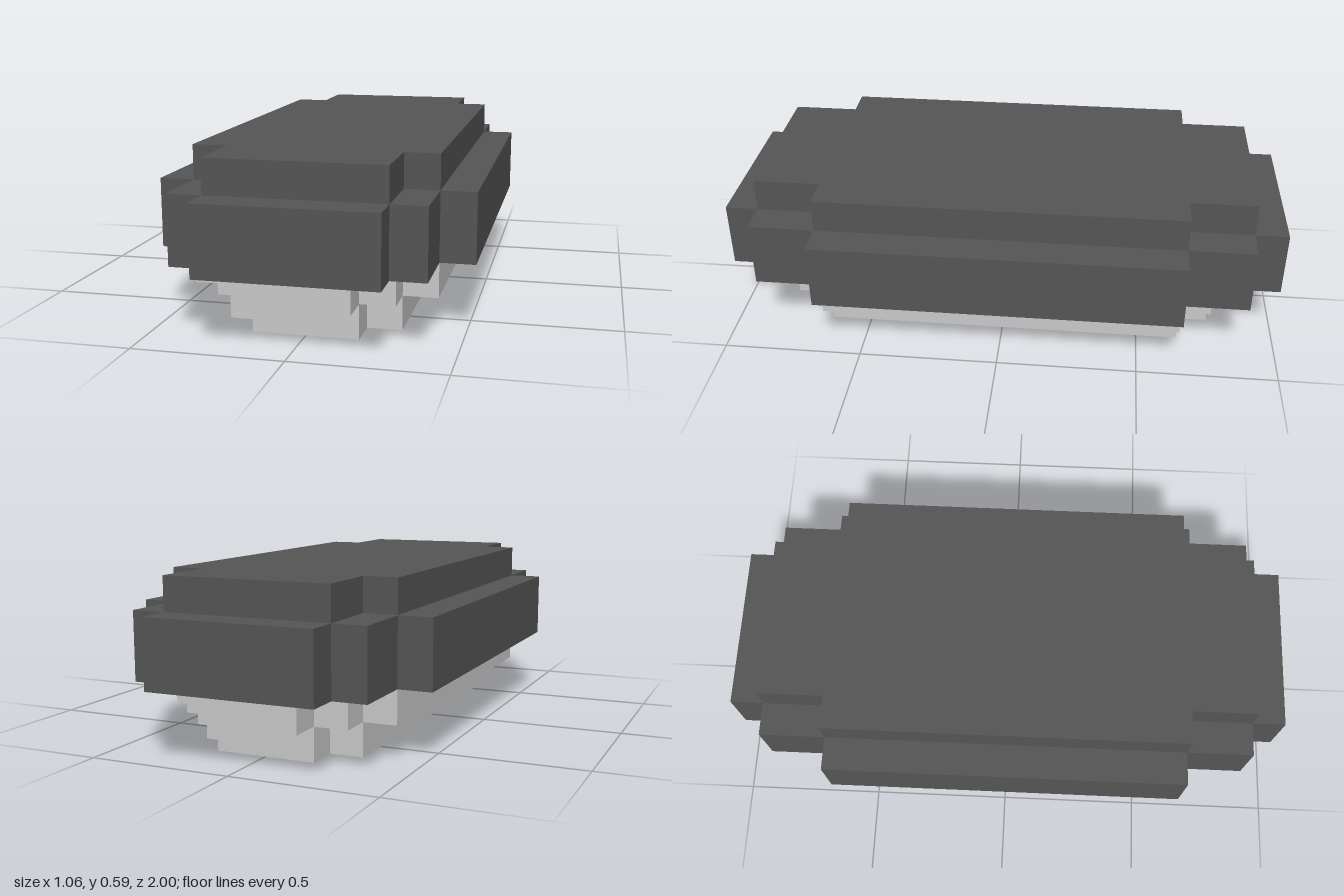
import * as THREE from 'three';

const U = 2 / 17; // one block

// Stepped outline from [halfWidth, halfLength] corners, widest first
function steppedShape(steps) {
  const quarter = [];
  steps.forEach(([x, z], i) => {
    if (i > 0) quarter.push([x, steps[i - 1][1]]);
    quarter.push([x, z]);
  });
  const flip = (sx, sz) => quarter.map(([x, z]) => new THREE.Vector2(x * sx * U, z * sz * U));
  return new THREE.Shape([
    ...flip(1, 1),
    ...flip(-1, 1).reverse(),
    ...flip(-1, -1),
    ...flip(1, -1).reverse(),
  ]);
}

export function createModel() {
  const group = new THREE.Group();
  group.name = 'blockCapsule';

  const darkGrey = new THREE.MeshStandardMaterial({ color: 0x555555 });
  darkGrey.name = 'darkGrey';
  const lightGrey = new THREE.MeshStandardMaterial({ color: 0xc9c9c9 });
  lightGrey.name = 'lightGrey';

  // Layers from the ground up, measured in blocks
  const layers = [
    { name: 'lowerBase', y: 0, h: 1, mat: lightGrey, steps: [[2.5, 5.5], [1.5, 6.5]] },
    { name: 'upperBase', y: 1, h: 1, mat: lightGrey, steps: [[3.5, 5.5], [2.5, 6.5], [1.5, 7.5]] },
    { name: 'body', y: 2, h: 2, mat: darkGrey, steps: [[4.5, 5.5], [3.5, 7.5], [2.5, 8.5]] },
    { name: 'topCap', y: 4, h: 1, mat: darkGrey, steps: [[3.5, 5.5], [2.5, 7.5]] },
  ];

  for (const { name, y, h, mat, steps } of layers) {
    const geometry = new THREE.ExtrudeGeometry(steppedShape(steps), { depth: h * U, bevelEnabled: false });
    geometry.rotateX(-Math.PI / 2);
    const mesh = new THREE.Mesh(geometry, mat);
    mesh.name = name;
    mesh.position.y = y * U;
    group.add(mesh);
  }
  return group;
}
